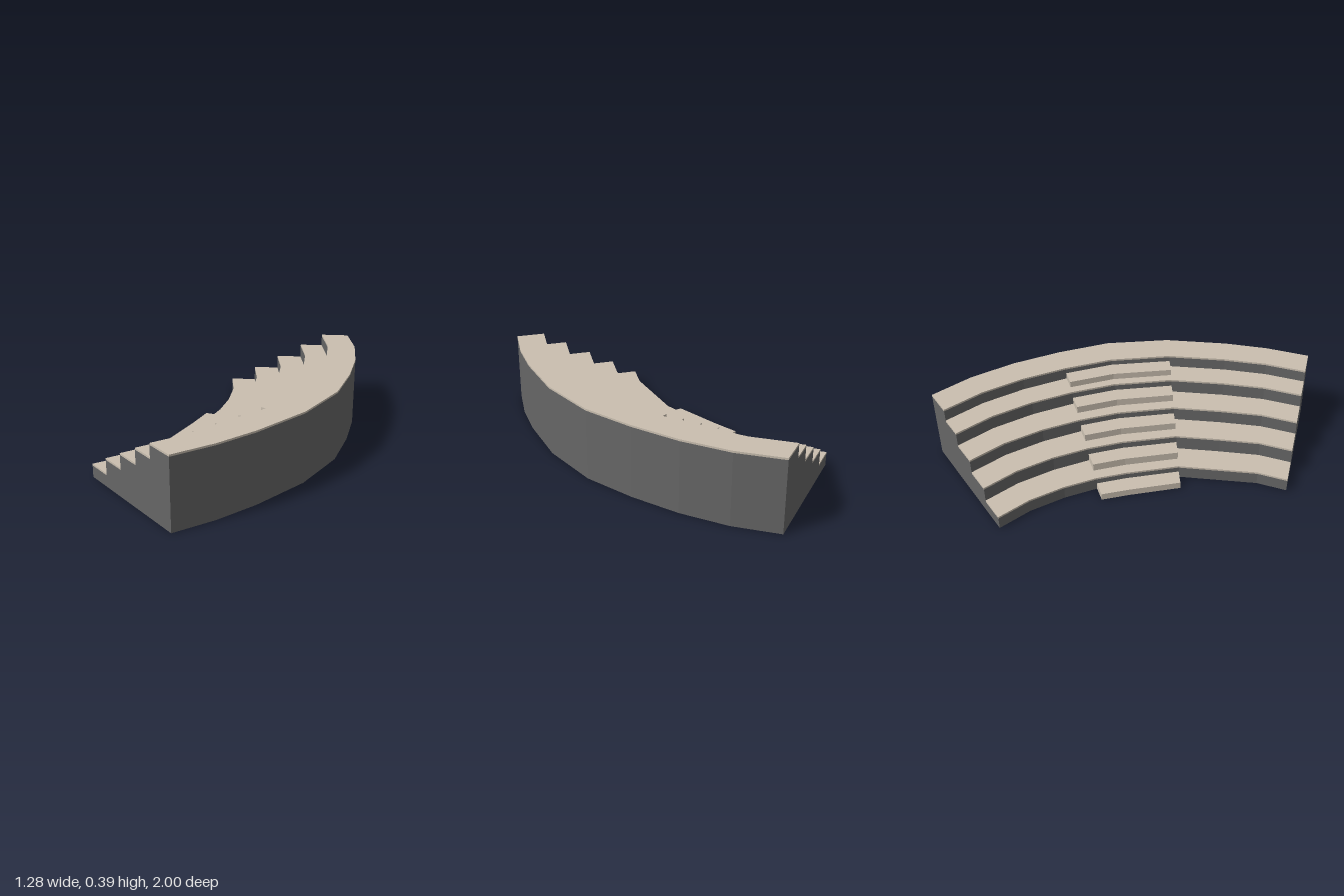
import * as THREE from 'three';

// Plan of the curved stand: inner and outer edges as [x, z] stations from back to front
const INNER = [[-0.165, -0.945], [-0.125, -0.76], [-0.12, -0.56], [-0.14, -0.38], [-0.18, -0.22],
  [-0.27, 0.05], [-0.395, 0.22], [-0.52, 0.39], [-0.645, 0.495]];
const OUTER = [[0.57, -1], [0.625, -0.76], [0.64, -0.5], [0.62, -0.23], [0.57, 0.06],
  [0.43, 0.38], [0.23, 0.66], [0.07, 0.84], [-0.11, 1]];
const LAST = INNER.length - 1;
const EDGES = [0, 0.2, 0.4, 0.6, 0.78, 1];        // tier edges as fractions of the width
const HEIGHTS = [0.075, 0.16, 0.24, 0.32, 0.39];  // tread heights
const CAP = 0.01;                                 // tread covering thickness
const AISLE = [3, 5];                             // stations spanned by the steps
const STEP_DEPTH = 0.118;

// Point at station i, fraction f across the width, height y
function at(i, f, y) {
  const [a, b] = [INNER[i], OUTER[i]];
  return [a[0] + (b[0] - a[0]) * f, y, a[1] + (b[1] - a[1]) * f];
}

// Curved slab between two fractions, two stations and two heights
function slab(f0, f1, i0, i1, y0, y1) {
  const pts = [];
  for (let i = i0; i <= i1; i++) pts.push(at(i, f0, 0));
  for (let i = i1; i >= i0; i--) pts.push(at(i, f1, 0));
  const shape = new THREE.Shape(pts.map(p => new THREE.Vector2(p[0], -p[2])));
  const geo = new THREE.ExtrudeGeometry(shape, { depth: y1 - y0, bevelEnabled: false });
  return geo.rotateX(-Math.PI / 2).translate(0, y0, 0);
}

// Stepped cross-section swept along the stations, closed at both ends
function steppedBody() {
  const pos = [];
  const quad = (a, b, c, d) => pos.push(...a, ...b, ...c, ...a, ...c, ...d);
  const profile = [[0, 0]];
  HEIGHTS.forEach((h, t) => profile.push([EDGES[t], h - CAP], [EDGES[t + 1], h - CAP]));
  profile.push([1, 0]);
  for (let i = 0; i < LAST; i++) {
    profile.forEach((p, j) => {
      const q = profile[(j + 1) % profile.length];
      const isBottom = j === profile.length - 1;
      if (isBottom && i >= AISLE[0] && i < AISLE[1]) return; // filled by the aisle base
      quad(at(i, ...p), at(i + 1, ...p), at(i + 1, ...q), at(i, ...q));
    });
  }
  HEIGHTS.forEach((h, t) => {
    const [f, g, y] = [EDGES[t], EDGES[t + 1], h - CAP];
    quad(at(0, f, 0), at(0, f, y), at(0, g, y), at(0, g, 0));
    quad(at(LAST, f, 0), at(LAST, g, 0), at(LAST, g, y), at(LAST, f, y));
  });
  const geo = new THREE.BufferGeometry();
  geo.setAttribute('position', new THREE.Float32BufferAttribute(pos, 3));
  geo.computeVertexNormals();
  return geo;
}

export function createModel() {
  const group = new THREE.Group();
  group.name = 'curvedSeatingStand';
  const dark = new THREE.MeshStandardMaterial({ color: 0x666666, side: THREE.DoubleSide });
  const beige = new THREE.MeshStandardMaterial({ color: 0xcabfb0 });
  const add = (name, geo, mat) => {
    const mesh = new THREE.Mesh(geo, mat);
    mesh.name = name;
    group.add(mesh);
  };

  add('tierBody', steppedBody(), dark);
  add('aisleBase', slab(0.001, 0.999, ...AISLE, 0, 0.002), beige);

  HEIGHTS.forEach((h, t) => {
    // Tread covering
    add(`tread${t + 1}`, slab(EDGES[t], EDGES[t + 1], 0, LAST, h - CAP, h), beige);
    // Half-height step in front of each riser
    const floor = t ? HEIGHTS[t - 1] : 0;
    add(`aisleStep${t + 1}`, slab(EDGES[t] - STEP_DEPTH, EDGES[t], ...AISLE, floor, (floor + h) / 2), beige);
  });
  return group;
}
